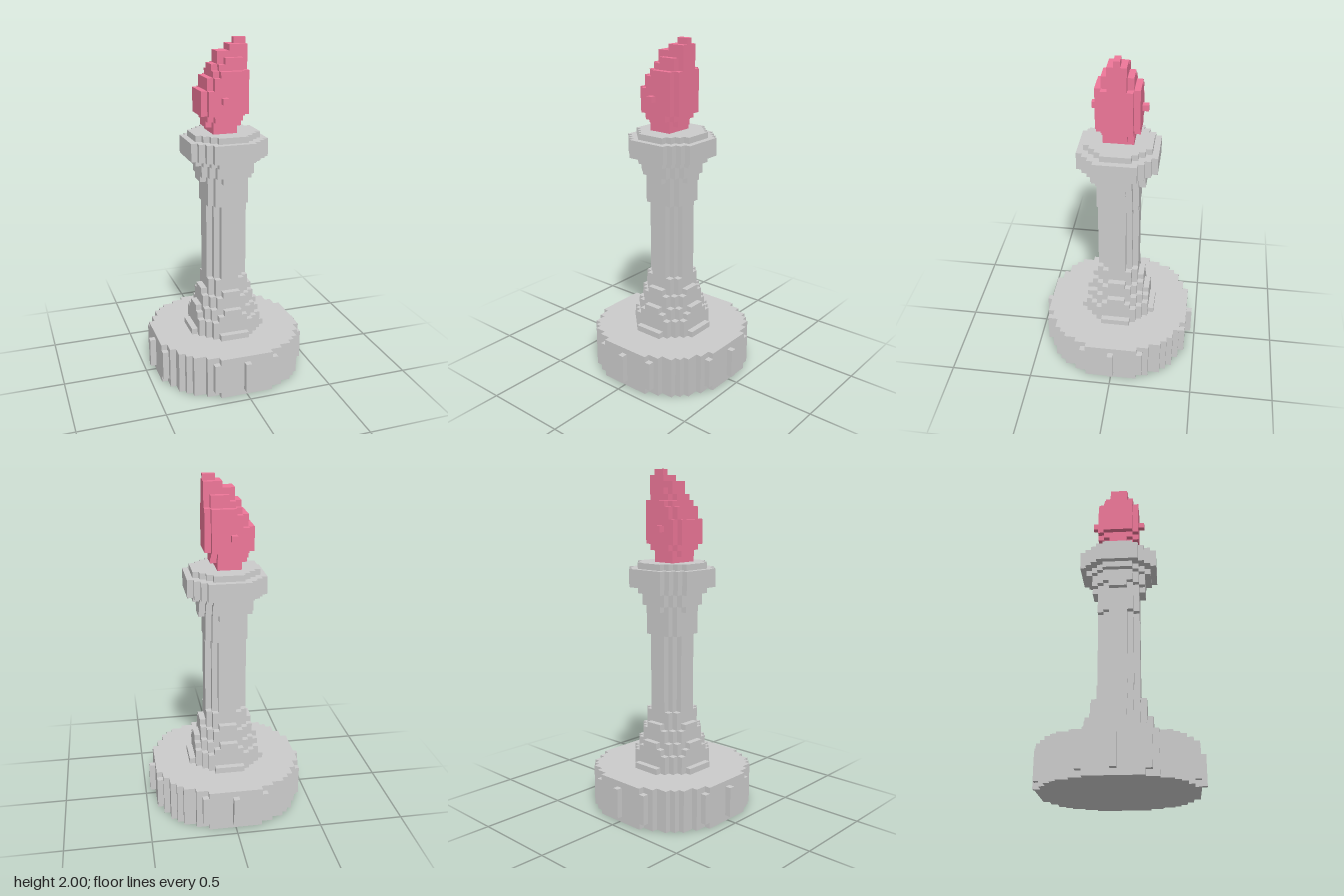
import * as THREE from 'three';

const U = 2 / 57; // one block
const key = (x, y, z) => `${x},${y},${z}`;

// Round bands: [first layer, last layer, squared radius in blocks]
const ROUND_PARTS = {
  base: [[0, 0, 168], [1, 5, 169], [6, 6, 168]],
  foot: [[7, 7, 40], [8, 9, 34], [10, 10, 29], [11, 11, 26], [12, 13, 20], [14, 14, 17]],
  column: [[15, 16, 13], [17, 29, 10], [30, 33, 13]],
  neck: [[34, 34, 17], [35, 36, 20]],
  capital: [[37, 37, 29], [38, 40, 45], [41, 41, 29]],
};

// Flame bands: [first layer, last layer, min x, max x, half depth]
const FLAME = [
  [42, 42, -2, 1, 2], [43, 43, -3, 2, 2], [44, 44, -3, 2, 3], [45, 48, -4, 3, 3],
  [49, 50, -3, 3, 3], [51, 51, -2, 3, 3], [52, 52, -2, 3, 2], [53, 53, -1, 3, 2],
  [54, 54, -1, 3, 1], [55, 55, 1, 3, 1], [56, 56, 2, 3, 0],
];

// Collect the blocks of a layer range that pass a test
function fill(cells, y0, y1, inside) {
  for (let y = y0; y <= y1; y++)
    for (let x = -13; x <= 13; x++)
      for (let z = -13; z <= 13; z++)
        if (inside(x, z)) cells.push([x, y, z]);
}

// Mesh only the faces that have no neighbouring block
function blockGeometry(cells, solid) {
  const pos = [], nor = [], idx = [];
  for (const c of cells)
    for (let axis = 0; axis < 3; axis++)
      for (const s of [-1, 1]) {
        const n = [0, 0, 0];
        n[axis] = s;
        if (solid.has(key(c[0] + n[0], c[1] + n[1], c[2] + n[2]))) continue;
        const start = pos.length / 3;
        for (const [a, b] of [[-1, -1], [1, -1], [1, 1], [-1, 1]]) {
          const p = [c[0], c[1] + 0.5, c[2]];
          p[axis] += s / 2;
          p[(axis + 1) % 3] += (a * s) / 2;
          p[(axis + 2) % 3] += b / 2;
          pos.push(p[0] * U, p[1] * U, p[2] * U);
          nor.push(...n);
        }
        idx.push(start, start + 1, start + 2, start, start + 2, start + 3);
      }
  const g = new THREE.BufferGeometry();
  g.setAttribute('position', new THREE.Float32BufferAttribute(pos, 3));
  g.setAttribute('normal', new THREE.Float32BufferAttribute(nor, 3));
  g.setIndex(idx);
  return g;
}

export function createModel() {
  const parts = {};

  // Stand: stacked block discs
  for (const [name, bands] of Object.entries(ROUND_PARTS)) {
    parts[name] = [];
    for (const [y0, y1, r2] of bands)
      fill(parts[name], y0, y1, (x, z) => x * x + z * z <= r2);
  }

  // Flame: block ellipses leaning to one side, with a stud front and back
  parts.flame = [];
  for (const [y0, y1, x0, x1, depth] of FLAME) {
    const cx = (x0 + x1) / 2, a = (x1 - x0) / 2 + 0.9, b = depth + 0.65;
    fill(parts.flame, y0, y1, (x, z) => ((x - cx) / a) ** 2 + (z / b) ** 2 <= 1);
  }
  parts.flame.push([-1, 47, 4], [-1, 47, -4]);

  const solid = new Set(Object.values(parts).flat().map((c) => key(...c)));
  const grey = new THREE.MeshStandardMaterial({ color: 0xcccccc });
  const pink = new THREE.MeshStandardMaterial({ color: 0xee7799 });
  const model = new THREE.Group();
  model.name = 'torchStand';
  for (const [name, cells] of Object.entries(parts)) {
    const mesh = new THREE.Mesh(blockGeometry(cells, solid), name === 'flame' ? pink : grey);
    mesh.name = name;
    model.add(mesh);
  }
  return model;
}
